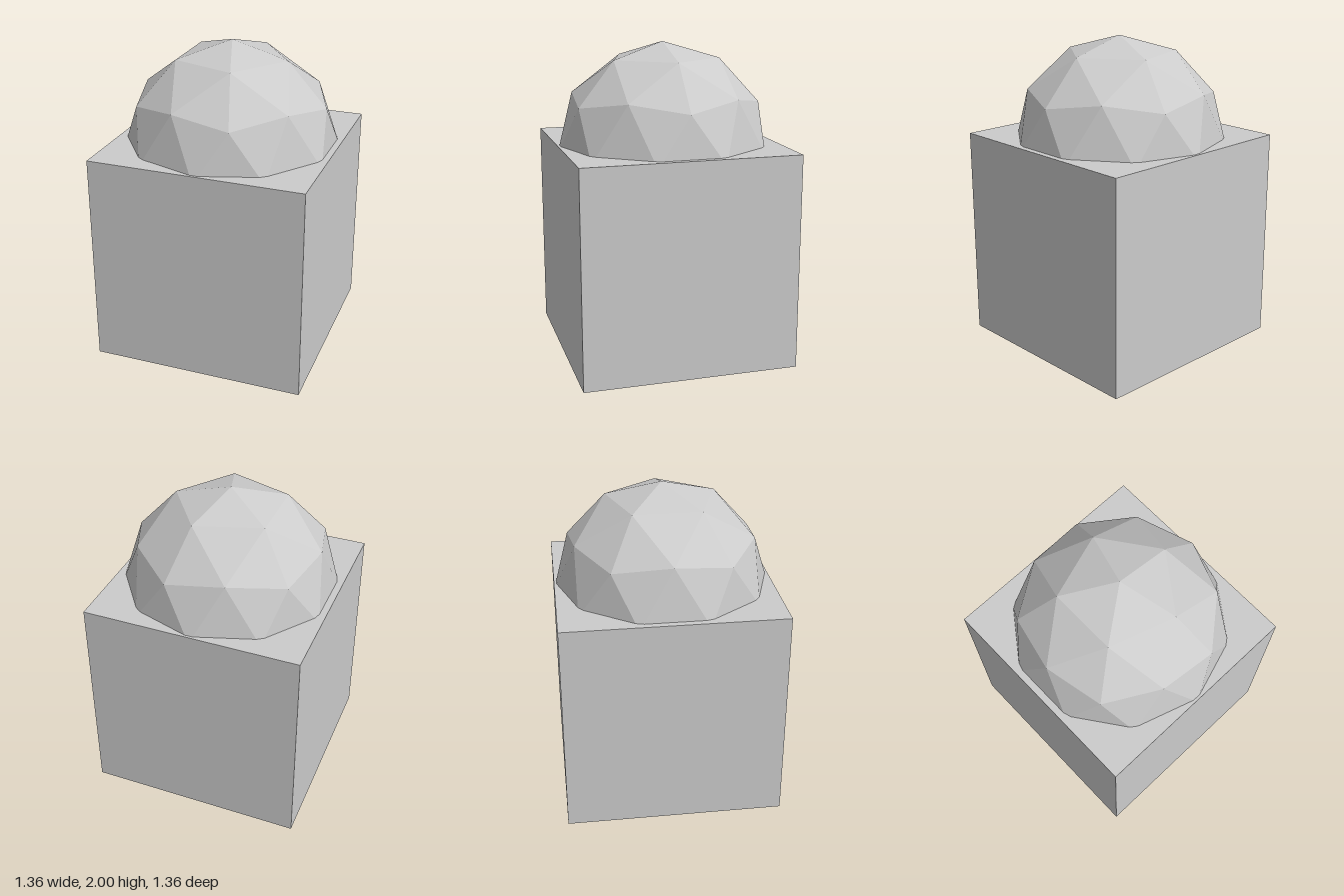
import * as THREE from 'three';

const SIDE = 1.364;         // cube edge length
const RADIUS = SIDE / 2;    // faceted ball radius

export function createModel() {
  const model = new THREE.Group();
  const material = new THREE.MeshStandardMaterial({ color: 0xcccccc, flatShading: true });

  // Cube base standing on the ground
  const base = new THREE.Mesh(new THREE.BoxGeometry(SIDE, SIDE, SIDE), material);
  base.name = 'cubeBase';
  base.position.y = SIDE / 2;
  model.add(base);

  // Faceted ball sunk halfway into the cube, tilted so one corner points straight up
  const phi = (1 + Math.sqrt(5)) / 2;
  const ballGeometry = new THREE.IcosahedronGeometry(RADIUS, 1);
  ballGeometry.rotateZ(-Math.atan(1 / phi));
  const ball = new THREE.Mesh(ballGeometry, material);
  ball.name = 'facetedDome';
  ball.position.y = 2 - RADIUS;
  model.add(ball);

  return model;
}
